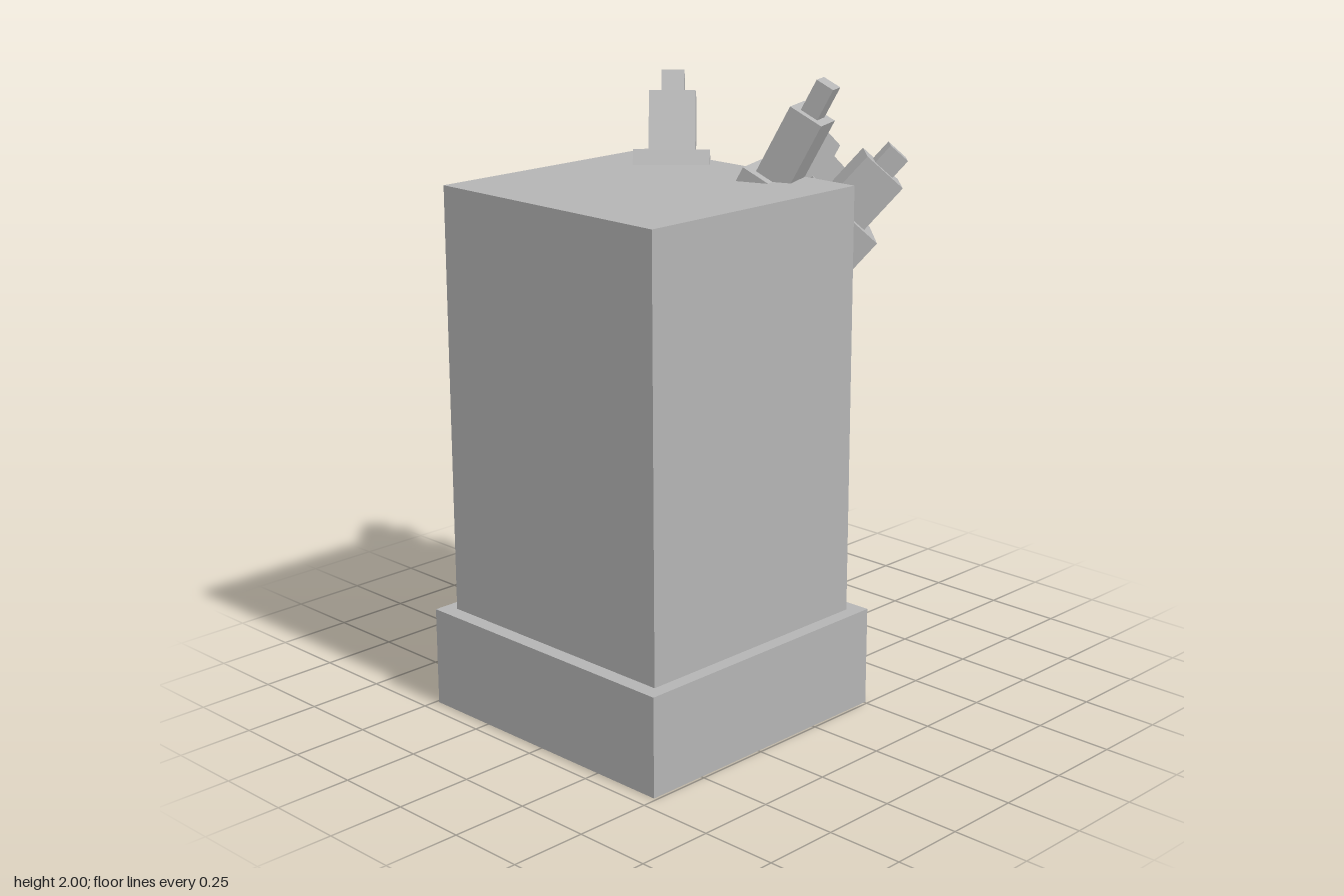
import * as THREE from 'three';

const stone = new THREE.MeshStandardMaterial({ color: 0xb4b4b4 });
stone.name = 'grey stone';

// Box spanning y0..y1 in its parent's frame
function block(name, w, d, y0, y1, x = 0) {
  const mesh = new THREE.Mesh(new THREE.BoxGeometry(w, y1 - y0, d), stone);
  mesh.name = name;
  mesh.position.set(x, (y0 + y1) / 2, 0);
  return mesh;
}

// Stepped spike: thick shaft, thinner middle, small tip, stacked along a leaning axis.
// The origin is where the shaft meets the middle; heading turns from +x toward -z.
function spike({ name, at, heading, tilt, widths, lengths }) {
  const g = new THREE.Group();
  g.name = name;
  const [shaft, middle, tip] = lengths;
  g.add(
    block('shaft', widths[0], widths[0], -shaft, 0),
    block('middle', widths[1], widths[1], 0, middle),
    block('tip', widths[2], widths[2], middle, middle + tip)
  );
  g.position.set(...at);
  g.rotation.set(0, THREE.MathUtils.degToRad(heading), -THREE.MathUtils.degToRad(tilt), 'YXZ');
  return g;
}

const spikes = [
  { name: 'sideSpike', at: [0.53, 1.543, -0.075], heading: 0, tilt: 40,
    widths: [0.26, 0.16, 0.077], lengths: [0.405, 0.15, 0.065] },
  { name: 'frontSideSpike', at: [0.378, 1.56, 0.26], heading: -44.5, tilt: 42,
    widths: [0.247, 0.15, 0.073], lengths: [0.44, 0.175, 0.07] },
  { name: 'backSpike', at: [0.152, 1.687, -0.272], heading: 43, tilt: 21.5,
    widths: [0.242, 0.148, 0.073], lengths: [0.43, 0.2, 0.075] },
  { name: 'frontSpike', at: [0.128, 1.687, 0.207], heading: -70, tilt: 28,
    widths: [0.18, 0.114, 0.06], lengths: [0.32, 0.232, 0.106] },
];

export function createModel() {
  const model = new THREE.Group();
  model.name = 'spikedPillar';

  // Plinth and pillar
  model.add(
    block('plinth', 0.955, 0.98, 0, 0.32, -0.222),
    block('pillar', 0.856, 0.89, 0.32, 1.685, -0.222)
  );

  // Spikes fanning out of the upper corner
  for (const s of spikes) model.add(spike(s));
  return model;
}
